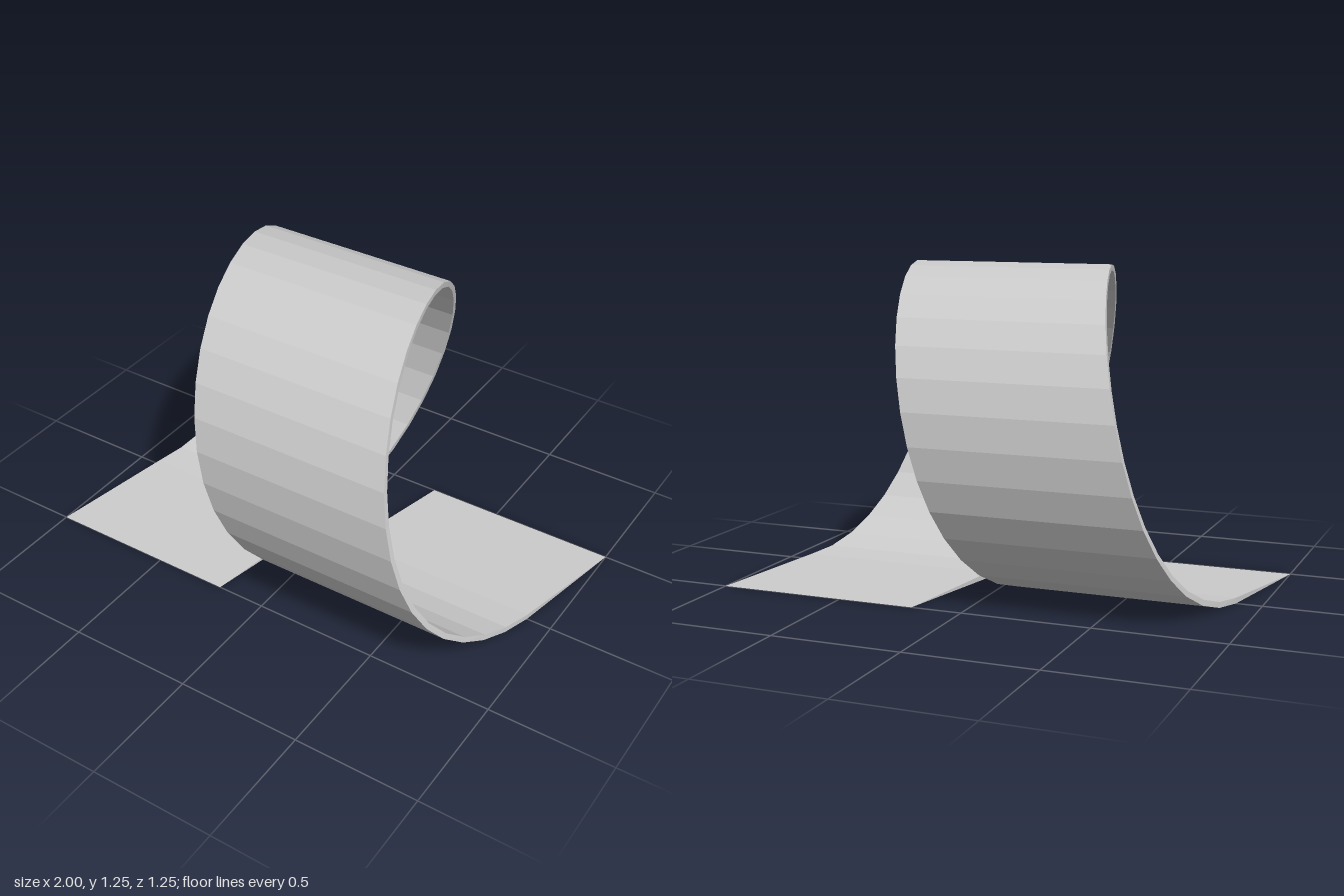
import * as THREE from 'three';

const SEGMENTS = 32;
const OUTER = 0.625;
const THICKNESS = 0.022;
const WIDTH = 0.8;
const TAIL = 0.5;

// Four corners of the band across its width: outer left, outer right, inner right, inner left
function section(x, outer, inner) {
  return [
    [x, ...outer],
    [x + WIDTH, ...outer],
    [x + WIDTH, ...inner],
    [x, ...inner],
  ];
}

// Point [y, z] on the loop, starting at the bottom and rising towards the back
function loopPoint(radius, angle) {
  return [OUTER - radius * Math.cos(angle), -radius * Math.sin(angle)];
}

// Skin consecutive sections with outward facing quads
function loft(sections) {
  const positions = [];
  for (let i = 0; i < sections.length - 1; i++) {
    const s = sections[i];
    const n = sections[i + 1];
    for (let k = 0; k < 4; k++) {
      const j = (k + 1) % 4;
      const [a, b, c, d] = [s[k], s[j], n[j], n[k]];
      positions.push(...a, ...d, ...c, ...a, ...c, ...b);
    }
  }
  const geometry = new THREE.BufferGeometry();
  geometry.setAttribute('position', new THREE.Float32BufferAttribute(positions, 3));
  geometry.computeVertexNormals();
  return geometry;
}

export function createModel() {
  const group = new THREE.Group();
  group.name = 'spiralRibbon';
  const material = new THREE.MeshStandardMaterial({ color: 0xcccccc, flatShading: true });

  // One full turn that drifts one unit sideways
  const turn = [];
  for (let i = 0; i <= SEGMENTS; i++) {
    const t = i / SEGMENTS;
    const angle = t * Math.PI * 2;
    turn.push(section(-0.9 + t, loopPoint(OUTER, angle), loopPoint(OUTER - THICKNESS, angle)));
  }

  // Flat tails tapering to a sharp edge on the ground
  const frontTip = section(-1, [0, TAIL], [0, TAIL]);
  const backTip = section(0.2, [0, -TAIL], [0, -TAIL]);

  const parts = {
    frontTail: [frontTip, turn[0]],
    loop: turn,
    backTail: [turn[SEGMENTS], backTip],
  };
  for (const [name, sections] of Object.entries(parts)) {
    const mesh = new THREE.Mesh(loft(sections), material);
    mesh.name = name;
    group.add(mesh);
  }
  return group;
}
